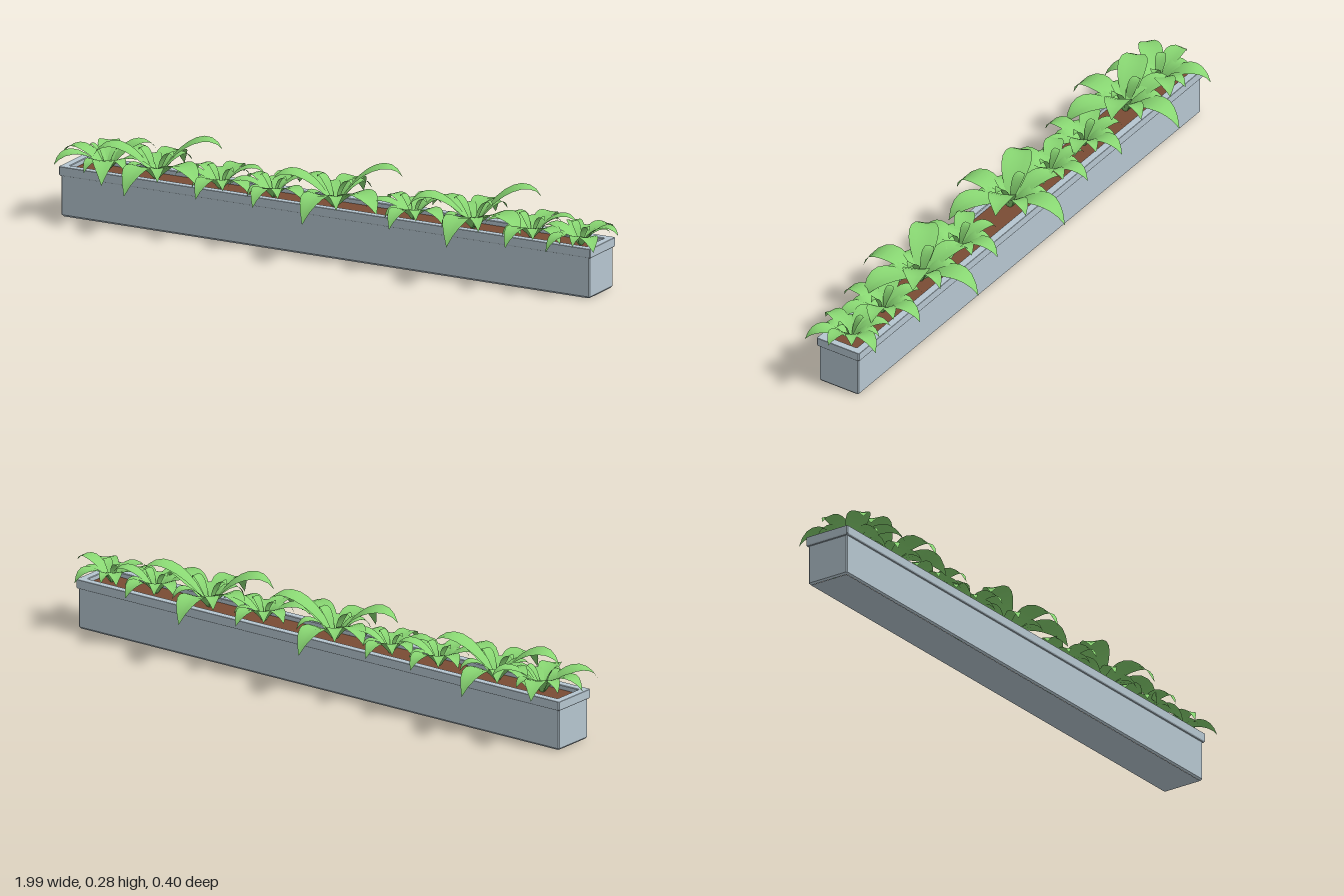
import * as THREE from 'three';
import { mergeGeometries } from 'three/addons/utils/BufferGeometryUtils.js';

const CX = -0.015, CZ = -0.0045;     // planter centre
const HX = 0.946, HZ = 0.074;        // planter half size
const SOIL_Y = 0.148;

// Chamfered rectangle as a closed loop of eight corners
function ring(out, y, c = 0.003) {
  const x = HX + out, z = HZ + out;
  return [[x, z - c], [x - c, z], [c - x, z], [-x, z - c], [-x, c - z], [c - x, -z], [x - c, -z], [x, c - z]]
    .map(([a, b]) => new THREE.Vector3(a, y, b));
}

// Wall swept around the rectangle from a profile of [offset, height]
function wallGeometry(profile) {
  const pts = [], rings = profile.map(([o, y]) => ring(o, y));
  for (let i = 0; i < rings.length - 1; i++) {
    for (let j = 0; j < 8; j++) {
      const k = (j + 1) % 8, [a, b] = [rings[i], rings[i + 1]];
      pts.push(a[j], b[j], a[k], a[k], b[j], b[k]);
    }
  }
  const g = new THREE.BufferGeometry().setFromPoints(pts);
  g.computeVertexNormals();
  return g;
}

// Arched leaf: pointed outline, creased along the midrib, bending over to its tip
function leafGeometry(angle, reach, peak, tip, half) {
  const curve = new THREE.CubicBezierCurve(
    new THREE.Vector2(0.004, 0), new THREE.Vector2(reach * 0.25, peak * 0.9),
    new THREE.Vector2(reach * 0.8, peak * 1.5), new THREE.Vector2(reach, tip));
  const rows = 9, pos = [], idx = [];
  const ca = Math.cos(angle), sa = Math.sin(angle);
  for (let i = 0; i <= rows; i++) {
    const t = i / rows, p = curve.getPoint(t);
    const w = half * (0.16 * (1 - t) + Math.sin(Math.PI * Math.pow(t, 1.1)));
    for (const s of [-1, -0.5, 0, 0.5, 1]) {
      const z = s * w;
      pos.push(p.x * ca - z * sa, p.y + Math.abs(z) * 0.12, p.x * sa + z * ca);
      const a = pos.length / 3 - 1;
      if (i < rows && s < 1) idx.push(a, a + 1, a + 5, a + 1, a + 6, a + 5);
    }
  }
  const g = new THREE.BufferGeometry();
  g.setAttribute('position', new THREE.Float32BufferAttribute(pos, 3));
  g.setIndex(idx);
  g.computeVertexNormals();
  return g;
}

const plantGeometry = (leaves) => mergeGeometries(leaves.map(([deg, ...leaf]) =>
  leafGeometry(THREE.MathUtils.degToRad(deg), ...leaf)));

// Leaves of each plant size: [degrees, reach, peak, tip height, half width]
const LARGE = [
  [-94, 0.203, 0.072, 0.0, 0.039], [90, 0.206, 0.072, -0.01, 0.041],
  [-23, 0.215, 0.118, 0.105, 0.04], [24, 0.225, 0.075, 0.025, 0.046],
  [156, 0.205, 0.1, 0.07, 0.044], [203, 0.19, 0.075, 0.035, 0.036],
  [58, 0.12, 0.055, 0.02, 0.022], [-58, 0.13, 0.07, 0.045, 0.024],
  [123, 0.12, 0.06, 0.02, 0.022], [-128, 0.125, 0.06, 0.03, 0.024],
  [5, 0.07, 0.08, 0.08, 0.018], [185, 0.07, 0.08, 0.085, 0.018],
];
const SMALL = [
  [-91, 0.145, 0.06, 0.02, 0.028], [90, 0.15, 0.055, 0.0, 0.028],
  [-24, 0.14, 0.068, 0.05, 0.026], [23, 0.155, 0.052, 0.015, 0.03],
  [156, 0.15, 0.058, 0.03, 0.03], [204, 0.135, 0.058, 0.03, 0.025],
  [55, 0.1, 0.045, 0.02, 0.019], [-58, 0.1, 0.05, 0.035, 0.019],
  [123, 0.1, 0.045, 0.015, 0.019], [-128, 0.1, 0.05, 0.025, 0.019],
  [5, 0.05, 0.06, 0.06, 0.014], [185, 0.05, 0.06, 0.065, 0.014],
];

// Plants along the trough: [x, leaves, scale, turn in degrees]
const PLANTS = [
  [-0.838, SMALL, 1.16, -24], [-0.66, LARGE, 0.97, 1], [-0.43, SMALL, 1, 2],
  [-0.24, SMALL, 0.96, -2], [-0.02, LARGE, 0.99, 1], [0.26, SMALL, 1, 1],
  [0.475, LARGE, 0.99, -5], [0.685, SMALL, 1.02, 4], [0.86, SMALL, 0.94, 22],
];

export function createModel() {
  const model = new THREE.Group();
  const grey = new THREE.MeshStandardMaterial({ color: 0xb6c6d0, flatShading: true });
  const brown = new THREE.MeshStandardMaterial({ color: 0x7a4c34 });
  const green = new THREE.MeshStandardMaterial({ color: 0x88d672, side: THREE.DoubleSide });

  const add = (name, geometry, material, parent) => {
    const m = new THREE.Mesh(geometry, material);
    m.name = name;
    parent.add(m);
    return m;
  };

  // Trough with chamfered foot and overhanging rim
  const planter = new THREE.Group();
  planter.name = 'planter';
  planter.position.set(CX, 0, CZ);
  model.add(planter);
  add('trough', wallGeometry([[-0.005, 0], [0, 0.006], [0, 0.135]]), grey, planter);
  add('rim', wallGeometry([[0, 0.132], [0.004, 0.133], [0.006, 0.137], [0.006, 0.162],
    [0.005, 0.163], [-0.018, 0.163], [-0.02, 0.161], [-0.02, 0.14]]), grey, planter);
  add('base', new THREE.PlaneGeometry(2 * HX - 0.011, 2 * HZ - 0.011).rotateX(Math.PI / 2), grey, planter);

  // Soil bed
  add('soil', new THREE.PlaneGeometry(2 * HX - 0.038, 2 * HZ - 0.038).rotateX(-Math.PI / 2), brown, planter)
    .position.y = SOIL_Y;

  // Row of leafy plants
  PLANTS.forEach(([x, leaves, scale, turn], i) => {
    const plant = add('plant' + (i + 1), plantGeometry(leaves), green, model);
    plant.position.set(x, SOIL_Y, -0.001);
    plant.scale.setScalar(scale);
    plant.rotation.y = -THREE.MathUtils.degToRad(turn);
  });
  return model;
}
